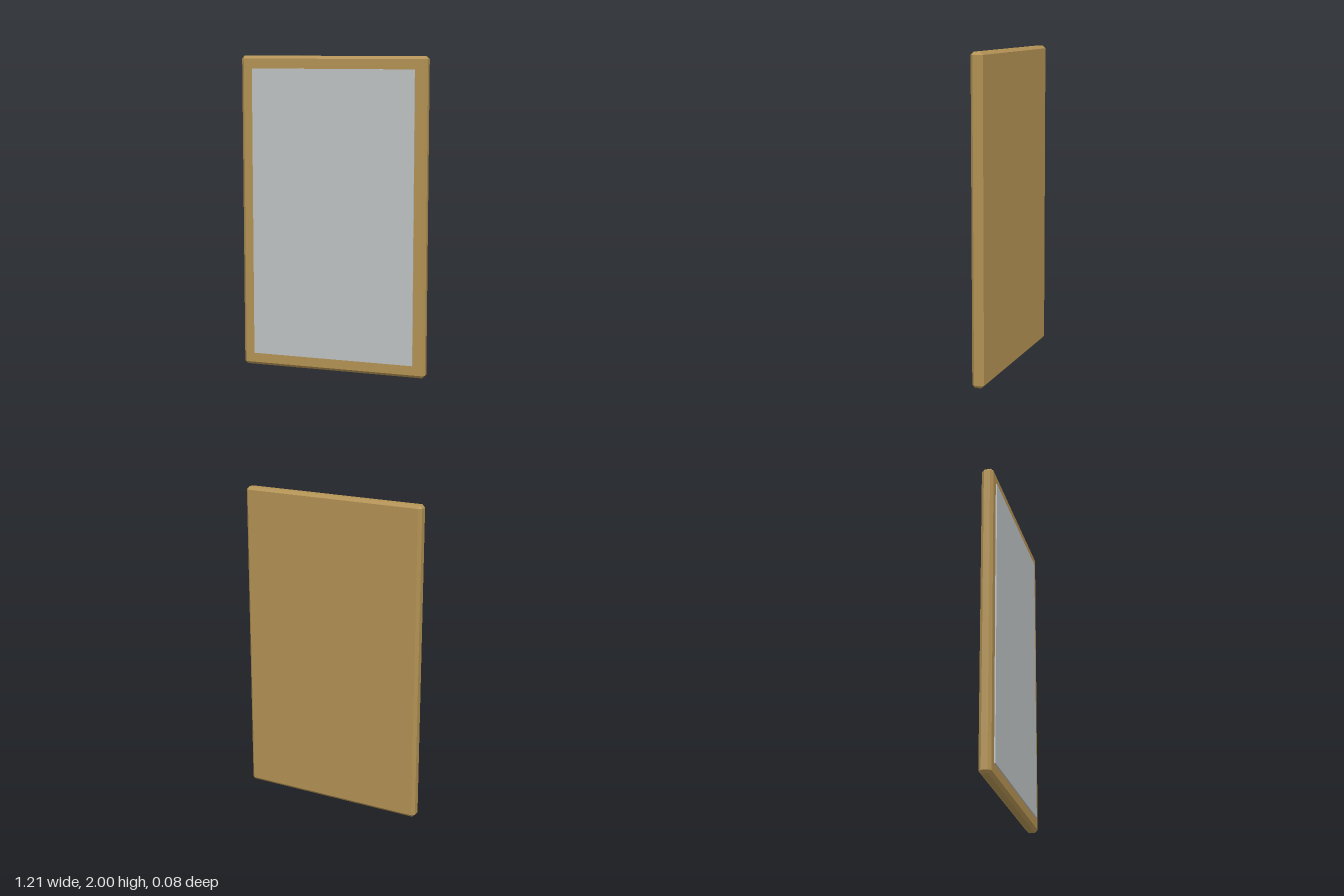
import * as THREE from 'three';
import { ConvexGeometry } from 'three/addons/geometries/ConvexGeometry.js';

// Box with every edge and corner cut by a flat chamfer
function chamferedBox(width, height, depth, cut) {
  const half = [width / 2, height / 2, depth / 2];
  const points = [];
  for (const sx of [-1, 1]) for (const sy of [-1, 1]) for (const sz of [-1, 1]) {
    // each corner becomes a triangle, with one point on each adjoining face
    for (let face = 0; face < 3; face++) {
      const [x, y, z] = half.map((h, axis) => (axis === face ? h : h - cut));
      points.push(new THREE.Vector3(sx * x, sy * y, sz * z));
    }
  }
  return new ConvexGeometry(points);
}

export function createModel() {
  const wood = new THREE.MeshStandardMaterial({ color: 0xb39254 });
  wood.name = 'wood';
  const glass = new THREE.MeshStandardMaterial({ color: 0xbec2c3 });
  glass.name = 'silver glass';

  const model = new THREE.Group();
  model.name = 'wallMirror';

  // Solid wooden frame and back
  const frame = new THREE.Mesh(chamferedBox(1.212, 2, 0.075, 0.018), wood);
  frame.name = 'frame';
  frame.position.set(0, 1, -0.0045);
  model.add(frame);

  // Thin mirror pane, slightly proud of the frame
  const pane = new THREE.Mesh(new THREE.BoxGeometry(1.06, 1.84, 0.009), glass);
  pane.name = 'mirrorPane';
  pane.position.set(0, 1, 0.0365);
  model.add(pane);

  return model;
}
